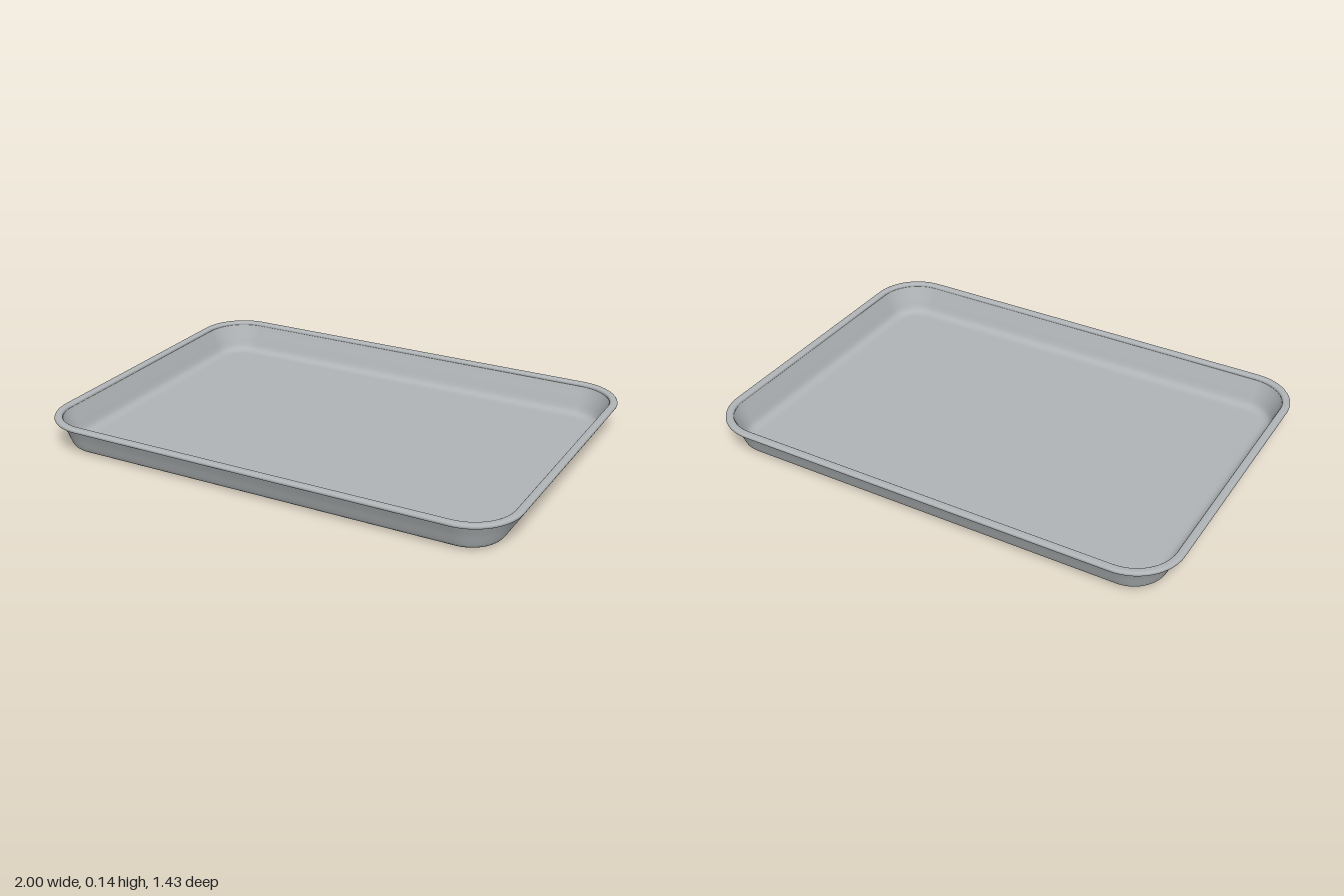
import * as THREE from 'three';

const HALF_X = 1, HALF_Z = 0.716, RADIUS = 0.2, ARC = 14;

// One rounded-rectangle ring, inset by d at height y; a large inset collapses to the centre
function ring(d, y) {
  const points = [];
  const r = RADIUS - d, flat = r > 0 ? 1 : 0;
  for (let q = 0; q < 4; q++) {
    const sx = q === 0 || q === 3 ? 1 : -1;
    const sz = q < 2 ? 1 : -1;
    for (let k = 0; k <= ARC; k++) {
      const a = (q + k / ARC) * Math.PI / 2;
      points.push(
        flat * (sx * (HALF_X - RADIUS) + r * Math.cos(a)), y,
        flat * (sz * (HALF_Z - RADIUS) + r * Math.sin(a)));
    }
  }
  return points;
}

// Sweeps a profile of [inset, height] pairs around the tray outline
function sweep(profile, closed = false) {
  const n = 4 * (ARC + 1), rows = profile.length;
  const position = profile.flatMap(([d, y]) => ring(d, y));
  const index = [];
  for (let j = 0; j < (closed ? rows : rows - 1); j++) {
    for (let i = 0; i < n; i++) {
      const a = j * n + i, c = j * n + (i + 1) % n;
      const next = ((j + 1) % rows) * n;
      const b = next + i, d = next + (i + 1) % n;
      index.push(a, b, c, c, b, d);
    }
  }
  const g = new THREE.BufferGeometry();
  g.setAttribute('position', new THREE.Float32BufferAttribute(position, 3));
  g.setIndex(index);
  g.computeVertexNormals();
  return g;
}

function smooth(points, count) {
  return new THREE.SplineCurve(points.map(p => new THREE.Vector2(...p)))
    .getPoints(count).map(p => [p.x, p.y]);
}

export function createModel() {
  const tray = new THREE.Group();
  tray.name = 'tray';
  const metal = new THREE.MeshStandardMaterial({ color: 0xb0b4b6 });
  metal.name = 'grey metal';

  const add = (name, geometry) => {
    const mesh = new THREE.Mesh(geometry, metal);
    mesh.name = name;
    tray.add(mesh);
  };

  // Underside and flared outer wall
  add('outerShell', sweep([[1, 0], [0.14, 0], ...smooth([
    [0.11, 0], [0.086, 0.004], [0.069, 0.015], [0.06, 0.032],
    [0.046, 0.07], [0.029, 0.11], [0.024, 0.125]], 24)]));

  // Inner wall curving down into the floor
  add('innerShell', sweep([...smooth([
    [0.03, 0.128], [0.037, 0.11], [0.054, 0.07], [0.068, 0.036],
    [0.079, 0.021], [0.097, 0.012], [0.12, 0.01]], 24), [0.145, 0.01], [1, 0.01]]));

  // Rolled rim: a stadium section running up the outside and over
  const section = [];
  const h = 0.0095, steps = 8;
  for (const [centre, start] of [[h, -Math.PI / 2], [0.023, Math.PI / 2]]) {
    for (let k = 0; k <= steps; k++) {
      const a = start + Math.PI * k / steps;
      section.push([centre - h * Math.cos(a), 0.1275 + h * Math.sin(a)]);
    }
  }
  add('rolledRim', sweep(section, true));

  return tray;
}
